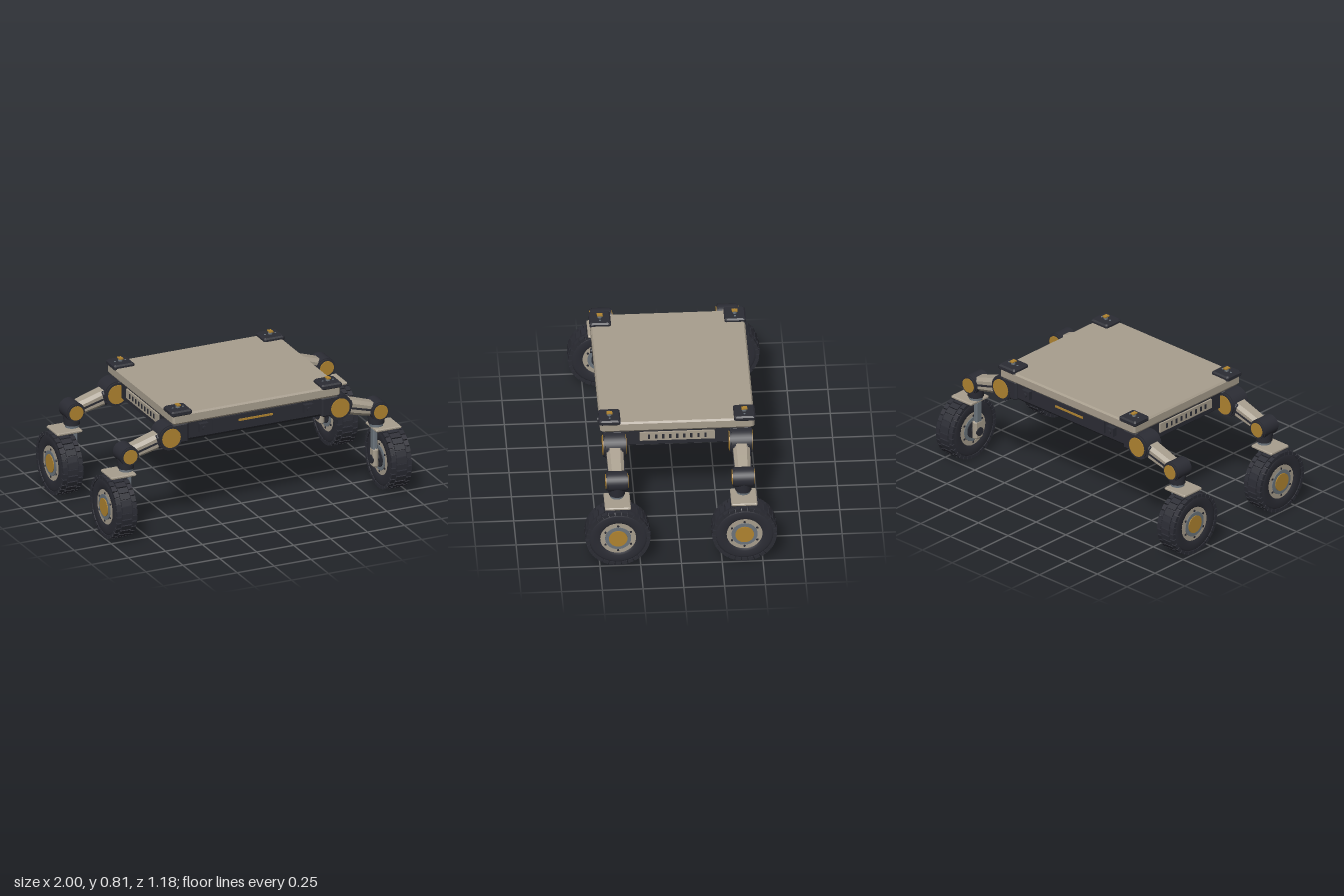
import * as THREE from 'three';

const mat = (name, color) => {
  const m = new THREE.MeshStandardMaterial({ color });
  m.name = name;
  return m;
};

// Stack of chamfered rectangles: levels are [y, halfX, halfZ], cut is the corner chamfer
function loft(levels, cut) {
  const rings = levels.map(([y, a, b]) => [
    [a, b - cut], [a, cut - b], [a - cut, -b], [cut - a, -b],
    [-a, cut - b], [-a, b - cut], [cut - a, b], [a - cut, b],
  ].map(([x, z]) => [x, y, z]));
  const out = [];
  const tri = (...p) => p.forEach((v) => out.push(...v));
  for (let i = 0; i < rings.length - 1; i++) {
    for (let k = 0; k < 8; k++) {
      const n = (k + 1) % 8, A = rings[i], B = rings[i + 1];
      tri(A[k], A[n], B[n]);
      tri(A[k], B[n], B[k]);
    }
  }
  const lo = rings[0], hi = rings[rings.length - 1];
  for (let k = 1; k < 7; k++) {
    tri(hi[0], hi[k], hi[k + 1]);
    tri(lo[0], lo[k + 1], lo[k]);
  }
  const g = new THREE.BufferGeometry();
  g.setAttribute('position', new THREE.Float32BufferAttribute(out, 3));
  g.computeVertexNormals();
  return g;
}

// Box with bevelled top and bottom edges, centred on the origin
const bevelBox = (w, h, d, c) => loft([
  [-h / 2, w / 2 - c, d / 2 - c], [-h / 2 + c, w / 2, d / 2],
  [h / 2 - c, w / 2, d / 2], [h / 2, w / 2 - c, d / 2 - c],
], c);
const box = (w, h, d) => new THREE.BoxGeometry(w, h, d);
const cylX = (r, l, n = 32) => new THREE.CylinderGeometry(r, r, l, n).rotateZ(-Math.PI / 2);
const cylZ = (r, l, n = 32) => new THREE.CylinderGeometry(r, r, l, n).rotateX(Math.PI / 2);
const cylY = (r, l, n = 24, r2 = r) => new THREE.CylinderGeometry(r, r2, l, n);

export function createModel() {
  const sand = mat('sand panel', 0xa89e8e);
  const dark = mat('charcoal', 0x2b2c34);
  const gold = mat('gold', 0xb08430);
  const steel = mat('blue steel', 0x6c757d);

  const add = (parent, name, geo, m, x = 0, y = 0, z = 0) => {
    const mesh = new THREE.Mesh(geo, m);
    mesh.name = name;
    mesh.position.set(x, y, z);
    parent.add(mesh);
    return mesh;
  };
  const group = (parent, name, x = 0, y = 0, z = 0) => {
    const g = new THREE.Group();
    g.name = name;
    g.position.set(x, y, z);
    parent.add(g);
    return g;
  };

  const model = new THREE.Group();
  model.name = 'rover';

  // Chassis, belly tray and deck
  const body = group(model, 'body');
  add(body, 'chassis', loft([[0.56, 0.52, 0.42], [0.58, 0.545, 0.44], [0.695, 0.545, 0.44]], 0.02), dark);
  add(body, 'bellyTray', bevelBox(0.65, 0.06, 0.6, 0.012), dark, 0, 0.535, 0);
  add(body, 'deck', loft([[0.69, 0.555, 0.458], [0.705, 0.567, 0.474], [0.752, 0.567, 0.474], [0.763, 0.558, 0.465]], 0.012), sand);

  // Front and back panels with light strip and sensor boxes
  for (const s of [1, -1]) {
    add(body, 'endPanel', box(0.58, 0.08, 0.012), dark, 0, 0.64, s * 0.446);
    add(body, 'lightStrip', box(0.23, 0.013, 0.008), gold, 0, 0.646, s * 0.453);
    for (const x of [-0.355, 0.355]) {
      add(body, 'sensorBox', box(0.06, 0.055, 0.03), dark, x, 0.643, s * 0.455);
      add(body, 'sensorEye', cylZ(0.014, 0.024, 16), dark, x, 0.643, s * 0.469);
    }
    // Side vent plates with slots
    add(body, 'ventPlate', box(0.012, 0.06, 0.46), sand, s * 0.55, 0.645, 0);
    for (let i = -4; i <= 4; i++)
      add(body, 'ventSlot', box(0.006, 0.03, 0.014), dark, s * 0.556, 0.645, i * 0.0433);
  }

  // Deck corner caps with studs
  for (const sx of [1, -1]) for (const sz of [1, -1]) {
    const cap = group(model, 'cornerCap', sx * 0.508, 0.766, sz * 0.414);
    add(cap, 'capBlock', bevelBox(0.138, 0.036, 0.132, 0.009), dark);
    add(cap, 'studPost', cylY(0.014, 0.018, 16), steel, 0, 0.025, 0);
    add(cap, 'studTop', box(0.026, 0.008, 0.036), gold, 0, 0.036, 0);
    for (const dx of [-0.035, 0.035]) add(cap, 'capScrew', cylY(0.006, 0.004, 10), steel, dx, 0.019, 0);
  }

  // Rotary joint with gold discs on both ends
  const joint = (parent, name, r, len, x, y) => {
    const j = group(parent, name, x, y, 0);
    add(j, 'jointDrum', cylZ(r, len - 0.02), dark);
    add(j, 'jointRim', cylZ(r * 0.92, len), dark);
    add(j, 'jointDisc', cylZ(r * 0.75, len + 0.008), gold);
  };

  // Tyre profile, spun around the axle
  const tyreProfile = [
    [0.105, -0.055], [0.125, -0.066], [0.165, -0.066], [0.184, -0.058], [0.19, -0.04],
    [0.19, 0.04], [0.184, 0.058], [0.165, 0.066], [0.125, 0.066], [0.105, 0.055],
  ].map(([r, y]) => new THREE.Vector2(r, y));
  const tyreGeo = new THREE.LatheGeometry(tyreProfile, 60).rotateZ(-Math.PI / 2);
  const lugMid = box(0.066, 0.018, 0.034);
  const lugSide = box(0.03, 0.022, 0.034);

  const makeWheel = (parent, x, y) => {
    const w = group(parent, 'wheel', x, y, 0);
    add(w, 'tyre', tyreGeo, dark);
    const count = 30;
    for (let i = 0; i < count; i++) {
      const place = (geo, px, r, a) => {
        const lug = add(w, 'treadLug', geo, dark, px, r * Math.cos(a), r * Math.sin(a));
        lug.rotation.x = a;
      };
      const a = (i / count) * Math.PI * 2, half = Math.PI / count;
      place(lugMid, 0, 0.191, a + half);
      place(lugSide, 0.053, 0.186, a);
      place(lugSide, -0.053, 0.186, a);
    }
    add(w, 'rim', cylX(0.11, 0.118, 40), sand);
    add(w, 'hubRing', cylX(0.08, 0.128, 40), steel);
    add(w, 'hubCap', cylX(0.057, 0.07), gold, 0.034);
    add(w, 'innerHub', cylX(0.057, 0.07), dark, -0.034);
    for (let i = 0; i < 6; i++) {
      const a = (i / 6) * Math.PI * 2;
      add(w, 'rimBolt', cylX(0.007, 0.126, 12), dark, 0, 0.09 * Math.cos(a), 0.09 * Math.sin(a));
    }
  };

  // One leg reaching out along +x; the other side is turned half a circle
  const makeLeg = (side, z) => {
    const leg = group(model, z > 0 ? 'frontLeg' : 'backLeg', 0, 0, z);
    if (side < 0) leg.rotation.y = Math.PI;

    add(leg, 'shoulderMount', bevelBox(0.12, 0.13, 0.132, 0.01), dark, 0.51, 0.625, 0);
    joint(leg, 'shoulder', 0.083, 0.138, 0.572, 0.607);

    // Sloping upper arm with slim side rails
    const dx = 0.276, dy = -0.077, len = Math.hypot(dx, dy);
    const arm = group(leg, 'upperArm', 0.572, 0.607, 0);
    arm.rotation.z = Math.atan2(dy, dx) - Math.PI / 2;
    add(arm, 'armShell', loft([[0.02, 0.05, 0.053], [0.15, 0.047, 0.05], [len, 0.042, 0.047]], 0.02), sand);
    for (const s of [1, -1])
      add(arm, 'armRail', box(0.012, len - 0.08, 0.008), dark, 0, len / 2 + 0.01, s * 0.05);
    add(arm, 'armCollar', bevelBox(0.092, 0.06, 0.116, 0.014), dark, 0, 0.065, 0);

    joint(leg, 'elbow', 0.062, 0.132, 0.848, 0.53);

    // Steering motor, mudguard plate and wheel strut
    add(leg, 'steeringMotor', cylY(0.056, 0.07, 24, 0.05), dark, 0.848, 0.473, 0);
    add(leg, 'steeringRing', cylY(0.043, 0.025), steel, 0.848, 0.43, 0);
    add(leg, 'mudguard', bevelBox(0.17, 0.018, 0.16, 0.005), sand, 0.897, 0.411, 0);
    add(leg, 'strut', bevelBox(0.03, 0.2, 0.05, 0.006), steel, 0.832, 0.305, 0);
    add(leg, 'axleHousing', bevelBox(0.038, 0.13, 0.07, 0.012), sand, 0.834, 0.212, 0);
    add(leg, 'axleCover', cylX(0.028, 0.05), dark, 0.835, 0.2, 0);

    makeWheel(leg, 0.93, 0.2);
  };
  for (const side of [1, -1]) for (const z of [0.388, -0.388]) makeLeg(side, z);

  return model;
}
